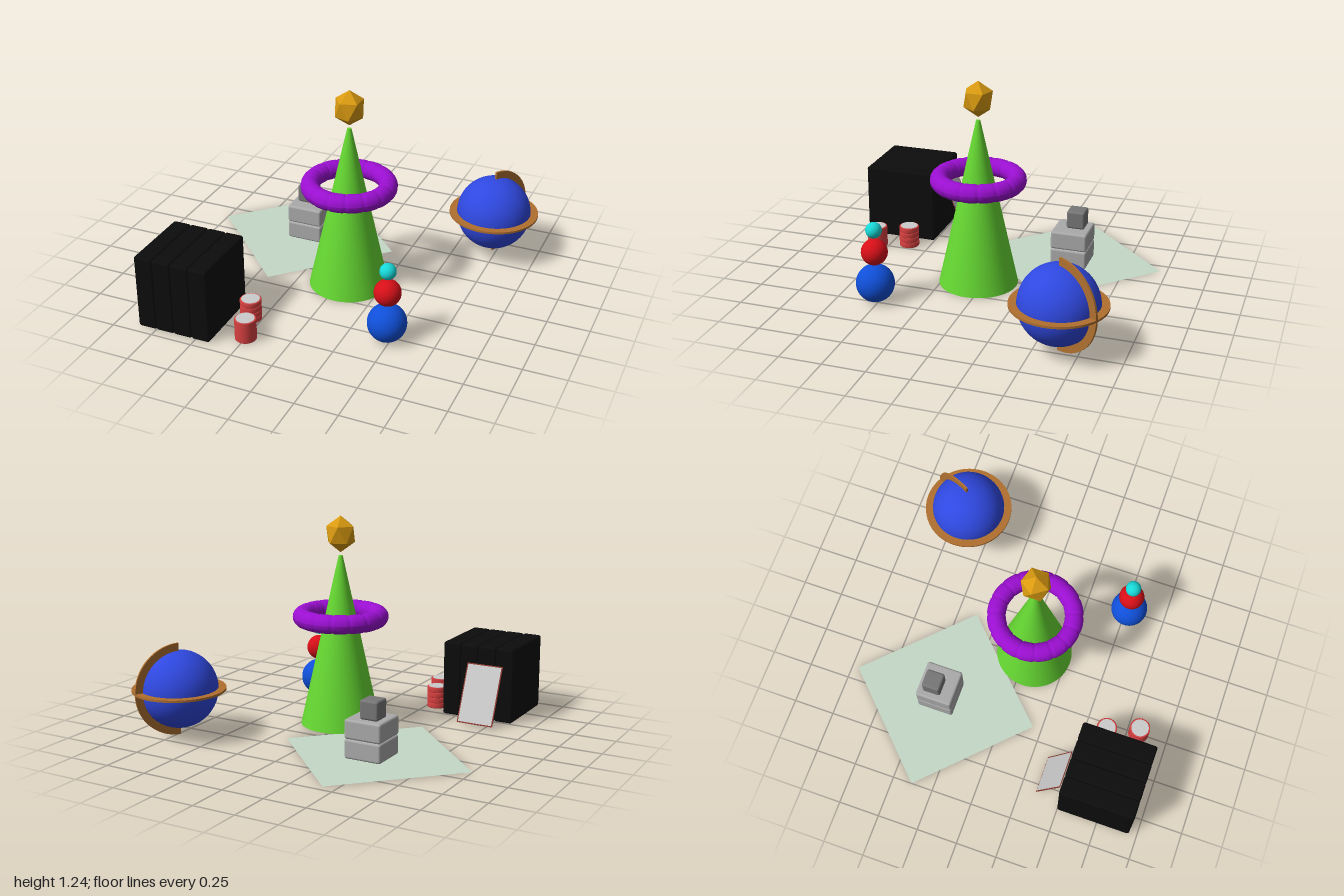
import * as THREE from 'three';
import { RoundedBoxGeometry } from 'three/addons/geometries/RoundedBoxGeometry.js';

const mat = (color, extra = {}) => new THREE.MeshStandardMaterial({ color, ...extra });

function add(parent, name, geometry, material, x = 0, y = 0, z = 0) {
  const mesh = new THREE.Mesh(geometry, material);
  mesh.name = name;
  mesh.position.set(x, y, z);
  parent.add(mesh);
  return mesh;
}

function group(parent, name, x = 0, y = 0, z = 0) {
  const g = new THREE.Group();
  g.name = name;
  g.position.set(x, y, z);
  parent.add(g);
  return g;
}

// Flat band of rectangular section, lying in the xy plane
function band(inner, outer, thickness, from, to) {
  const shape = new THREE.Shape();
  shape.absarc(0, 0, outer, from, to, false);
  if (to - from < 6) {
    shape.absarc(0, 0, inner, to, from, true);
  } else {
    const hole = new THREE.Path();
    hole.absarc(0, 0, inner, from, to, true);
    shape.holes.push(hole);
  }
  const geo = new THREE.ExtrudeGeometry(shape, { depth: thickness, bevelEnabled: false, curveSegments: 48 });
  return geo.translate(0, 0, -thickness / 2);
}

// Ring of rounded beads: a torus whose tube narrows at each joint
function beadedRing(radius, tube, beads, offset) {
  const geo = new THREE.TorusGeometry(radius, tube, 20, beads * 12).rotateX(Math.PI / 2);
  const p = geo.attributes.position;
  for (let i = 0; i < p.count; i++) {
    const x = p.getX(i), y = p.getY(i), z = p.getZ(i);
    const a = Math.atan2(x, z);
    const t = (((a - offset) * beads) / (2 * Math.PI)) % 1;
    const u = Math.abs(((t + 1) % 1) * 2 - 1);
    const k = 1 - 0.14 * Math.pow(u, 10);
    const d = Math.hypot(x, z);
    const r = radius + (d - radius) * k;
    p.setXYZ(i, (x / d) * r, y * k, (z / d) * r);
  }
  geo.computeVertexNormals();
  return geo;
}

export function createModel() {
  const model = new THREE.Group();
  model.name = 'toyScene';

  // Square ground sheet, turned 45 degrees
  const sheet = add(model, 'groundSheet', new THREE.PlaneGeometry(0.817, 0.817),
    mat(0xc5dac8, { side: THREE.DoubleSide }), -0.422, 0.002, -0.383);
  sheet.rotation.set(-Math.PI / 2, 0, Math.PI / 4);

  // Grey blocks on the sheet
  const blocks = group(model, 'greyBlocks', -0.41, 0, -0.412);
  for (let i = 0; i < 2; i++) {
    add(blocks, 'baseBlock', new RoundedBoxGeometry(0.224, 0.1125, 0.224, 3, 0.014),
      mat(0xaaaaaa), 0, 0.056 + i * 0.1125, 0);
  }
  add(blocks, 'topBlock', new RoundedBoxGeometry(0.112, 0.112, 0.112, 3, 0.014),
    mat(0x777777), -0.021, 0.281, -0.022);

  // Black cube of four upright slabs
  const cube = group(model, 'blackCube', -0.635, 0.2275, 0.725);
  for (let i = 0; i < 4; i++) {
    add(cube, 'slab', new RoundedBoxGeometry(0.1125, 0.452, 0.452, 3, 0.014),
      mat(0x0c0c0c), (i - 1.5) * 0.1125, 0, 0);
  }

  // Thin framed panel leaning on the back of the cube
  const panel = group(model, 'leaningPanel', -0.6875, 0.18, 0.419);
  panel.rotation.x = 0.4;
  add(panel, 'panelFrame', new THREE.BoxGeometry(0.226, 0.362, 0.003), mat(0x8a3a30));
  add(panel, 'panelFace', new THREE.BoxGeometry(0.212, 0.348, 0.005), mat(0xcccccc));

  // Red pots with grey lids: one ribbed, one plain
  for (const [x, z, ribs] of [[-0.312, 0.63, 4], [-0.248, 0.82, 1]]) {
    const pot = group(model, ribs > 1 ? 'ribbedPot' : 'plainPot', x, 0, z);
    const h = 0.132 / ribs;
    for (let i = 0; i < ribs; i++) {
      const profile = [[0, 0], [0.058, 0], [0.062, 0.004], [0.062, h - 0.004], [0.058, h], [0, h]]
        .map(([r, y]) => new THREE.Vector2(r, y));
      add(pot, 'potBody', new THREE.LatheGeometry(profile, 32), mat(0xd84040), 0, i * h, 0);
    }
    add(pot, 'potLid', new THREE.CylinderGeometry(0.053, 0.053, 0.004, 32), mat(0xcccccc), 0, 0.1315, 0);
  }

  // Green cone with beaded ring and gold crystal
  const tree = group(model, 'coneTree', 0.045, 0, 0.043);
  add(tree, 'cone', new THREE.CylinderGeometry(0.012, 0.235, 1.01, 48), mat(0x66d932), 0, 0.505, 0);
  add(tree, 'beadedRing', beadedRing(0.226, 0.055, 16, -0.077), mat(0x9a0fd0), 0, 0.648, 0);
  const crystal = new THREE.IcosahedronGeometry(0.0935, 0)
    .rotateZ(Math.atan(2 / (1 + Math.sqrt(5)))).scale(1, 1.145, 1);
  crystal.computeVertexNormals();
  add(tree, 'goldCrystal', crystal, mat(0xd99a10, { flatShading: true }), 0, 1.135, 0);

  // Three stacked balls
  const balls = group(model, 'ballStack', 0.477, 0, 0.522);
  for (const [name, r, y, color] of [
    ['bottomBall', 0.112, 0.112, 0x0f4fd8],
    ['middleBall', 0.077, 0.306, 0xd80f18],
    ['topBall', 0.047, 0.44, 0x18d8d8],
  ]) add(balls, name, new THREE.SphereGeometry(r, 40, 28), mat(color), 0, y, 0);

  // Globe with a horizontal ring and a half-circle arm
  const globe = group(model, 'globe', 0.723, 0.28, -0.635);
  const wood = mat(0xb07030);
  add(globe, 'globeBall', new THREE.SphereGeometry(0.225, 48, 32), mat(0x2f48e0));
  const ring = add(globe, 'horizonRing', band(0.225, 0.27, 0.013, 0, Math.PI * 2), wood);
  ring.rotation.x = Math.PI / 2;
  const arm = add(globe, 'meridianArm', band(0.225, 0.27, 0.013, -Math.PI / 2, Math.PI / 2), wood);
  arm.rotation.y = Math.PI / 2 - 0.5;

  return model;
}
